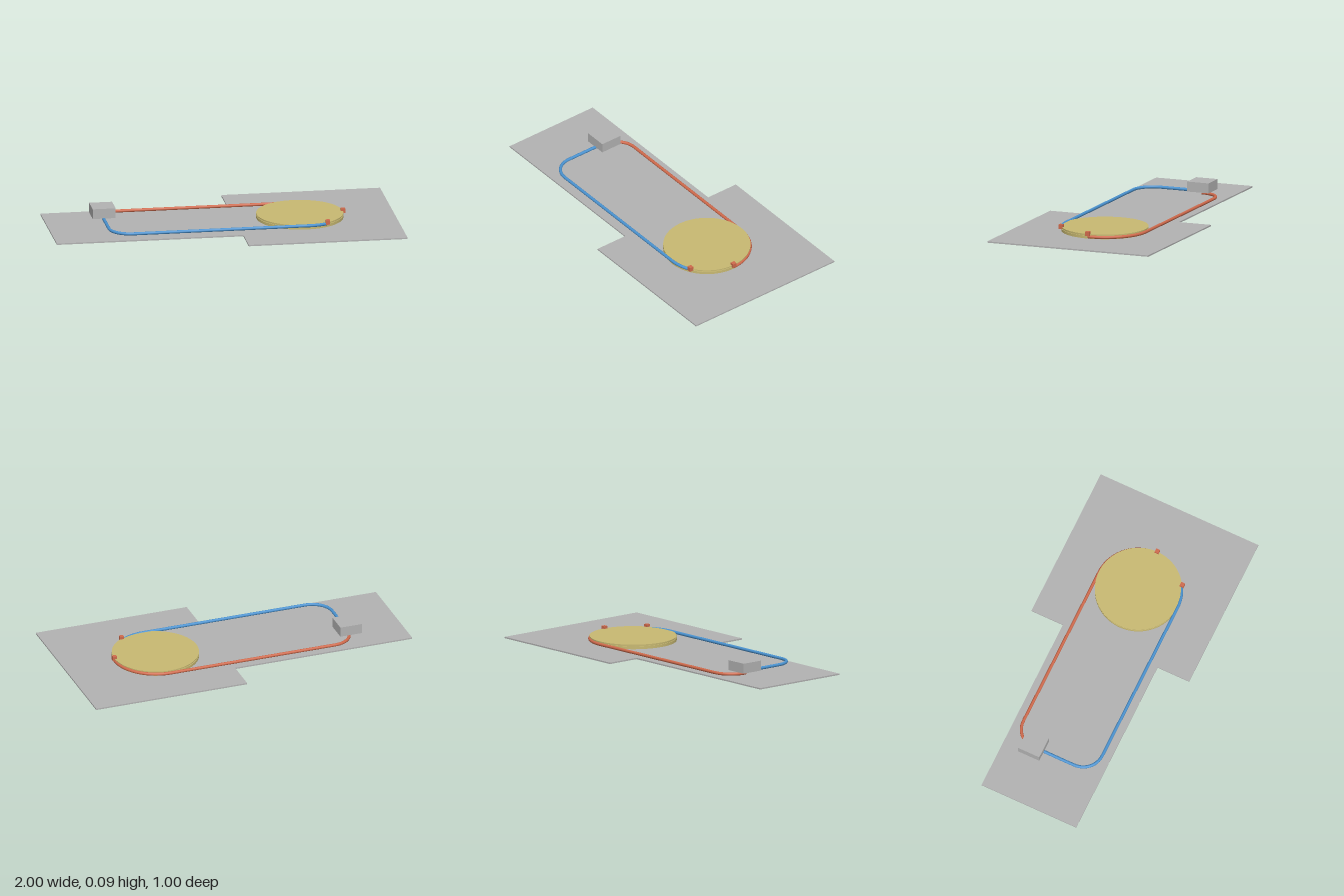
import * as THREE from 'three';

const material = (name, color) => {
  const m = new THREE.MeshStandardMaterial({ color });
  m.name = name;
  return m;
};

export function createModel() {
  const model = new THREE.Group();
  const grey = material('grey', 0xb2b2b2);
  const sand = material('sand', 0xc8b972);
  const red = material('copper red', 0xcf6a4c);
  const blue = material('blue', 0x4a92cf);

  const add = (name, geometry, mat, x = 0, y = 0, z = 0) => {
    const mesh = new THREE.Mesh(geometry, mat);
    mesh.name = name;
    mesh.position.set(x, y, z);
    model.add(mesh);
    return mesh;
  };

  // T-shaped floor plate
  const outline = [[-1, -0.3], [0.08, -0.3], [0.08, -0.5], [1, -0.5], [1, 0.5], [0.08, 0.5], [0.08, 0.3], [-1, 0.3]];
  const plate = new THREE.ExtrudeGeometry(
    new THREE.Shape(outline.map(([x, z]) => new THREE.Vector2(x, z))),
    { depth: 0.008, bevelEnabled: false }
  );
  plate.rotateX(-Math.PI / 2);
  add('floorPlate', plate, grey);

  // Round slab with a shallow groove around its rim
  const cx = 0.455, R = 0.25;
  [['slabBase', R, 0.008, 0.024], ['slabGroove', R - 0.005, 0.024, 0.03], ['slabTop', R, 0.03, 0.035]]
    .forEach(([name, r, y0, y1]) =>
      add(name, new THREE.CylinderGeometry(r, r, y1 - y0, 96), sand, cx, (y0 + y1) / 2, 0));

  // Pipe: from under the box, round a corner, along a side and around the slab rim
  const pipe = (name, side, y, startZ, endAngle, endRadius, endY, mat) => {
    const points = [new THREE.Vector3(-0.67, y, startZ)];
    const corner = 0.12;
    for (let i = 0; i <= 10; i++) {
      const a = (i / 10) * Math.PI / 2;
      points.push(new THREE.Vector3(
        -0.55 - corner * Math.cos(a), y, side * (R - corner + corner * Math.sin(a))));
    }
    for (let i = 1; i < 10; i++) points.push(new THREE.Vector3(-0.55 + (cx + 0.55) * i / 10, y, side * R));
    for (let i = 0; i <= 20; i++) {
      const t = i / 20;
      const a = THREE.MathUtils.lerp(Math.PI / 2, endAngle, t);
      const r = THREE.MathUtils.lerp(R, endRadius, t);
      points.push(new THREE.Vector3(
        cx + r * Math.cos(a), THREE.MathUtils.lerp(y, endY, t), side * r * Math.sin(a)));
    }
    const curve = new THREE.CatmullRomCurve3(points, false, 'centripetal');
    add(name, new THREE.TubeGeometry(curve, 240, 0.009, 16), mat);
  };
  pipe('redPipe', -1, 0.018, -0.125, 0, 0.246, 0.018, red);
  pipe('bluePipe', 1, 0.03, -0.1, 1.04, 0.246, 0.026, blue);

  // Small connector blocks at the pipe ends
  [[0.705, 0], [0.582, 0.217]].forEach(([x, z], i) =>
    add('connector' + (i + 1), new THREE.BoxGeometry(0.024, 0.026, 0.024), red, x, 0.037, z));

  // Pump box joining both pipes
  add('pumpBox', new THREE.BoxGeometry(0.133, 0.058, 0.133), grey, -0.668, 0.063, -0.128);

  return model;
}
